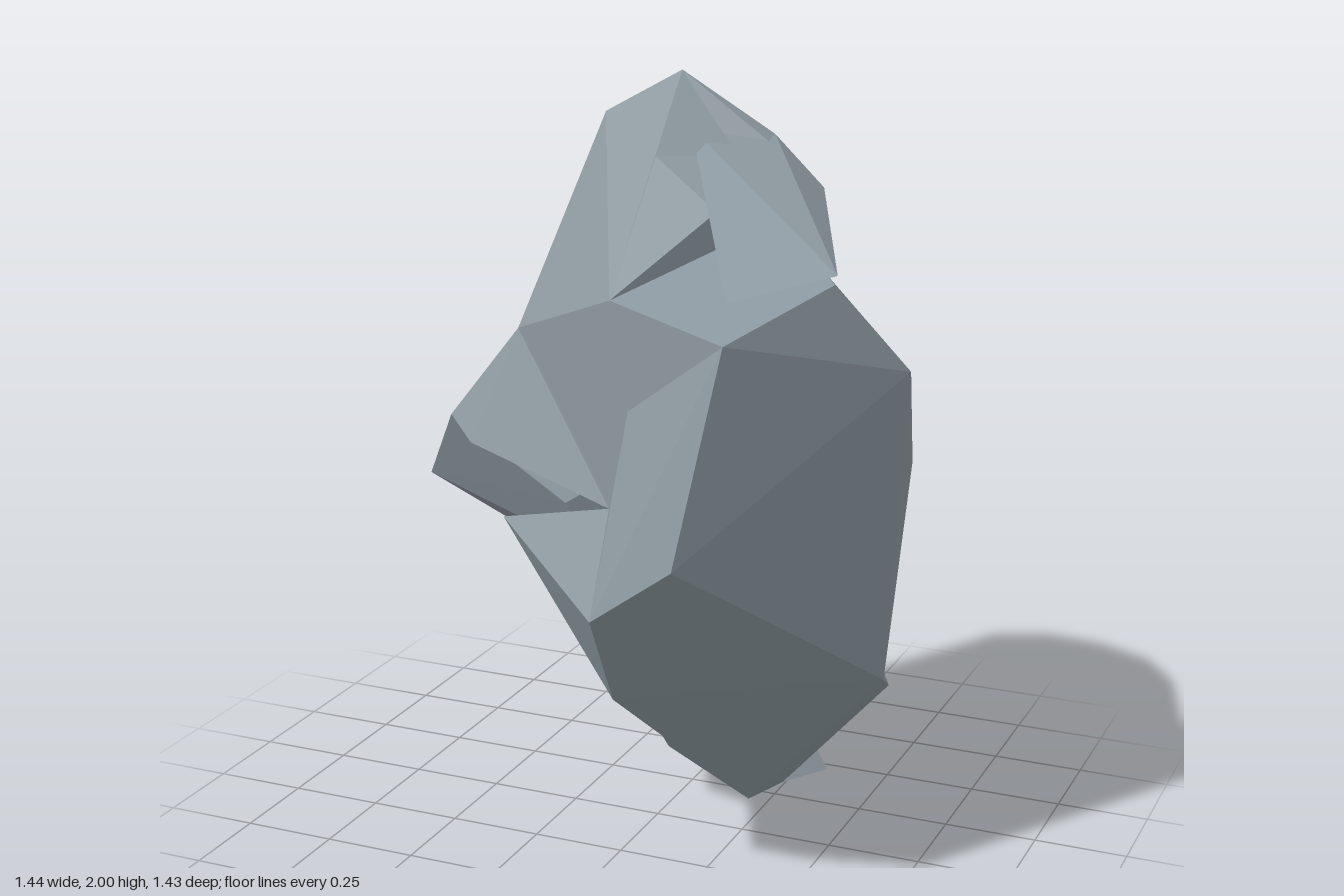
import * as THREE from 'three';
import { ConvexGeometry } from 'three/addons/geometries/ConvexGeometry.js';

export function createModel() {
  const group = new THREE.Group();
  group.name = 'facetedRock';
  const stone = new THREE.MeshStandardMaterial({ color: 0x8b979e, flatShading: true });
  stone.name = 'blue grey stone';

  // Corners where neighbouring chunks meet
  const peak = [-0.08, 2.0, -0.35], shoulder = [-0.24, 1.9, -0.21];
  const brow = [-0.01, 1.51, 0.28], notch = [-0.01, 0.97, 0.29], dimple = [0.06, 1.28, 0.31];
  const chest = [0.41, 1.5, 0.57], slabEnd = [0.58, 1.62, 0.26], underSlab = [0.57, 1.595, 0.25];
  const slabTop = [-0.02, 1.86, -0.27], slabBack = [0.175, 1.84, -0.38];
  const slabBend = [0.17, 1.7, 0.02], slabCorner = [0.34, 1.72, -0.31];
  const nape = [0.28, 1.66, -0.14], valley = [0.05, 1.39, -0.32];
  const spike = [-0.145, 1.41, -0.72];
  const ridge = [-0.52, 1.12, -0.05], cheek = [-0.35, 1.37, 0.11];
  const ledge = [-0.56, 1.11, 0.1], inner = [-0.05, 1.0, -0.3];
  const backWaist = [0.26, 0.96, -0.4], hollow = [0.02, 0.83, -0.43];
  const hip = [0.44, 0.76, -0.2], flank = [0.64, 0.5, 0];
  const chin = [0.11, 0.81, 0.67], keel = [0.08, 0.53, 0.47];
  const base = [0.21, 0.02, -0.15], heel = [0.25, 0.01, -0.31];
  const rear = [0.05, 0.34, -0.57], tip = [-0.03, 0.08, -0.28];
  const elbow = [-0.175, 0.49, -0.53], rump = [0.08, 0.66, -0.535];

  // One faceted chunk of stone from its corner points
  const chunk = (name, ...corners) => {
    const points = corners.map((c) => new THREE.Vector3(...c));
    const mesh = new THREE.Mesh(new ConvexGeometry(points), stone);
    mesh.name = name;
    group.add(mesh);
  };

  // Large front and left mass, with its sloping top
  chunk('belly', dimple, chest, underSlab, nape, [0.65, 1.35, 0.02],
    [0.72, 1.36, 0.1], [0.7, 1.1, 0], chin, [0.34, 0.98, 0.71], keel, flank,
    base, hip, notch, backWaist);
  chunk('bellyTop', brow, chest, underSlab, nape, dimple, notch);

  // Tall upper mass with the spike at the back, and the valley under it
  chunk('crown', peak, shoulder, [-0.135, 1.74, -0.545], spike, ridge, cheek,
    brow, notch, inner, nape, valley);
  chunk('crownUnderside', spike, valley, backWaist, inner, ridge);
  chunk('core', nape, valley, backWaist, brow, notch, inner);

  // Front slope below the thin overhanging slab
  chunk('collar', shoulder, brow, slabBend, slabTop, nape);
  chunk('topSlab', slabTop, slabBack, slabBend, slabCorner, slabEnd, [0.33, 1.55, 0.35]);
  chunk('topRidge', peak, slabTop, slabBack, slabCorner, [0.1, 1.74, -0.36]);

  // Lip and arm projecting on the right
  chunk('armLip', [-0.37, 1.12, 0.35], cheek, ledge, notch, ridge, inner);
  chunk('arm', [-0.72, 0.88, -0.07], [-0.67, 0.8, -0.19], ledge, ridge, [-0.2, 0.92, 0.15],
    [-0.14, 0.77, 0.1], [-0.44, 0.635, -0.28], [-0.24, 0.83, -0.42], elbow, inner, hollow);

  // Pointed fin beside the belly
  chunk('fin', [-0.27, 0.94, 0.37], notch, chin, keel, [-0.02, 0.6, 0.2]);

  // Lower stem and the splayed toe
  chunk('stem', elbow, [-0.03, 0.46, 0.15], [-0.01, 0.16, -0.1], base, [0.62, 0.44, -0.11],
    flank, hip, rump, [0.05, 0.53, -0.55], rear, heel, tip);
  chunk('stemNeck', hollow, hip, rump, backWaist, inner, [-0.1, 0.72, 0.02], [-0.03, 0.46, 0.12]);
  chunk('toe', [0.33, 0, -0.47], heel, rear, tip, [0.1, 0.13, -0.53]);

  return group;
}
